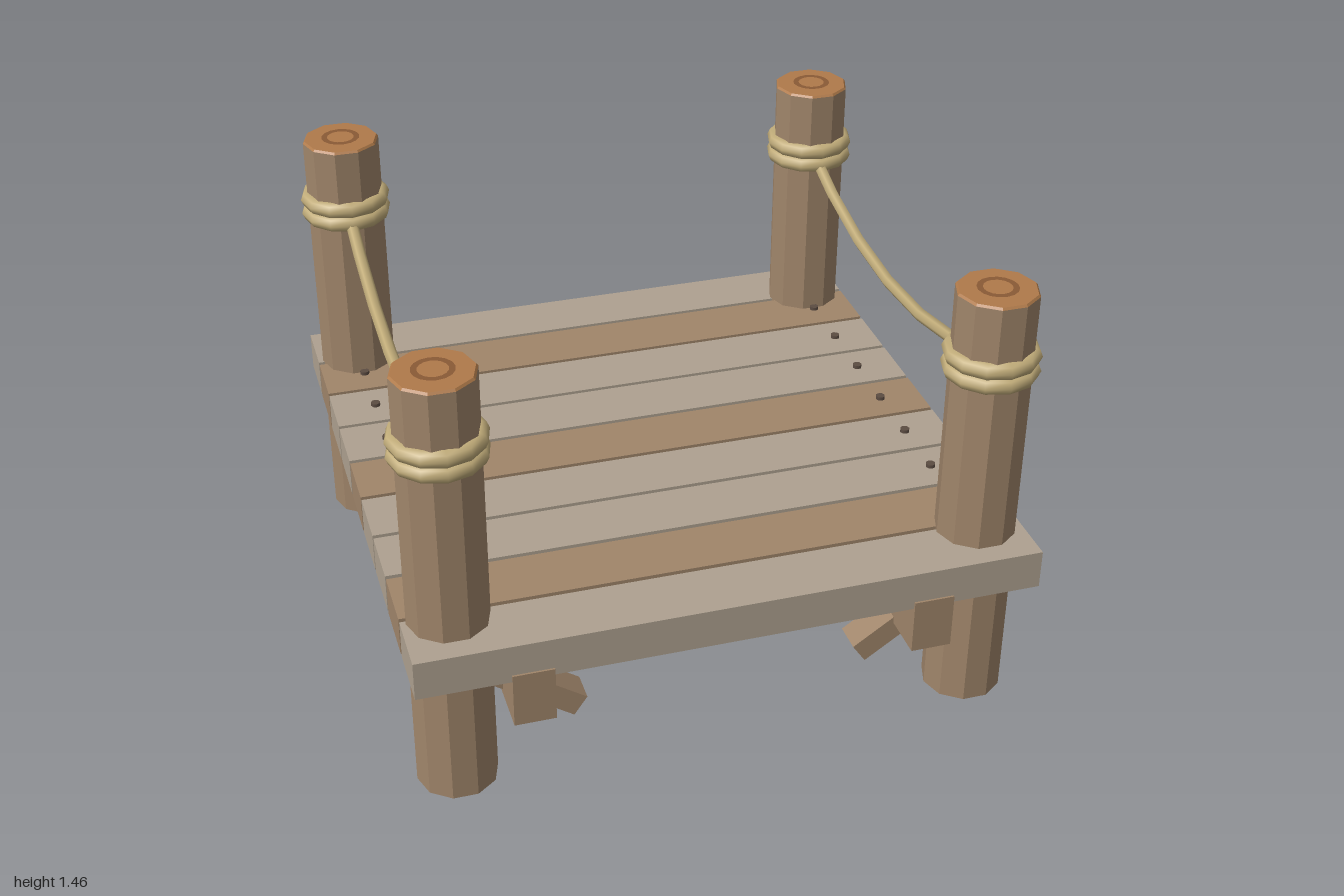
import * as THREE from 'three';

const mat = (name, color) => {
  const m = new THREE.MeshStandardMaterial({ color });
  m.name = name;
  return m;
};

export function createModel() {
  const root = new THREE.Group();
  root.name = 'dock';

  const brown = mat('brownWood', 0xa0856a);
  brown.flatShading = true;
  const grey = mat('weatheredWood', 0xaea190);
  const cutWood = mat('cutWood', 0xb07a4a);
  cutWood.flatShading = true;
  const ringWood = mat('growthRing', 0x8a5a36);
  const ropeMat = mat('rope', 0xc2ad7a);
  const iron = mat('nailIron', 0x5c4c42);

  const add = (name, geometry, material, x, y, z, parent = root) => {
    const m = new THREE.Mesh(geometry, material);
    m.name = name;
    m.position.set(x, y, z);
    parent.add(m);
    return m;
  };

  const postX = 0.845, postZ = 0.8, postR = 0.128;

  // Deck planks, with one nail near each end
  const plankGeo = new THREE.BoxGeometry(1.98, 0.13, 0.207);
  const nailGeo = new THREE.CylinderGeometry(0.016, 0.016, 0.02, 8);
  for (let i = 0; i < 9; i++) {
    const z = (i - 4) * 0.2225;
    add('plank', plankGeo, i % 3 === 1 ? brown : grey, 0, 0.535, z);
    for (const s of [-1, 1]) add('nail', nailGeo, iron, s * postX, 0.602, z);
  }

  // Shared post, cap and lashing shapes; ten-sided with corners on the x axis
  const shaftGeo = new THREE.CylinderGeometry(postR, postR, 1.445, 10).rotateY(Math.PI / 2);
  const capGeo = new THREE.CylinderGeometry(0.122, postR, 0.007, 10).rotateY(Math.PI / 2);
  const ringGeo = new THREE.RingGeometry(0.045, 0.064, 16).rotateX(-Math.PI / 2);
  const lashGeo = new THREE.TorusGeometry(0.124, 0.028, 8, 12).rotateX(Math.PI / 2);
  const braceGeo = new THREE.BoxGeometry(0.36, 0.075, 0.1);
  const beamGeo = new THREE.BoxGeometry(0.13, 0.185, 2);

  for (const sx of [-1, 1]) {
    // Beam running under the planks
    add('beam', beamGeo, brown, sx * 0.635, 0.4025, 0);

    for (const sz of [-1, 1]) {
      const post = new THREE.Group();
      post.name = 'post';
      post.position.set(sx * postX, 0, sz * postZ);
      root.add(post);
      add('shaft', shaftGeo, brown, 0, 0.7225, 0, post);
      add('cutTop', capGeo, cutWood, 0, 1.4485, 0, post);
      add('growthRing', ringGeo, ringWood, 0, 1.455, 0, post);
      for (const y of [1.188, 1.238]) add('lashing', lashGeo, ropeMat, 0, y, 0, post);

      // Diagonal brace from the post, passing through the beam
      const brace = add('brace', braceGeo, brown, sx * 0.607, 0.312, sz * postZ);
      brace.rotation.z = sx * 0.6;
    }

    // Sagging rope between the front and back posts
    const points = [];
    for (let i = -3; i <= 3; i++) {
      const t = i / 3;
      points.push(new THREE.Vector3(sx * postX, 1.06 + 0.16 * t * t, t * postZ));
    }
    const path = new THREE.CatmullRomCurve3(points);
    add('railRope', new THREE.TubeGeometry(path, 6, 0.021, 6), ropeMat, 0, 0, 0);
  }

  return root;
}
